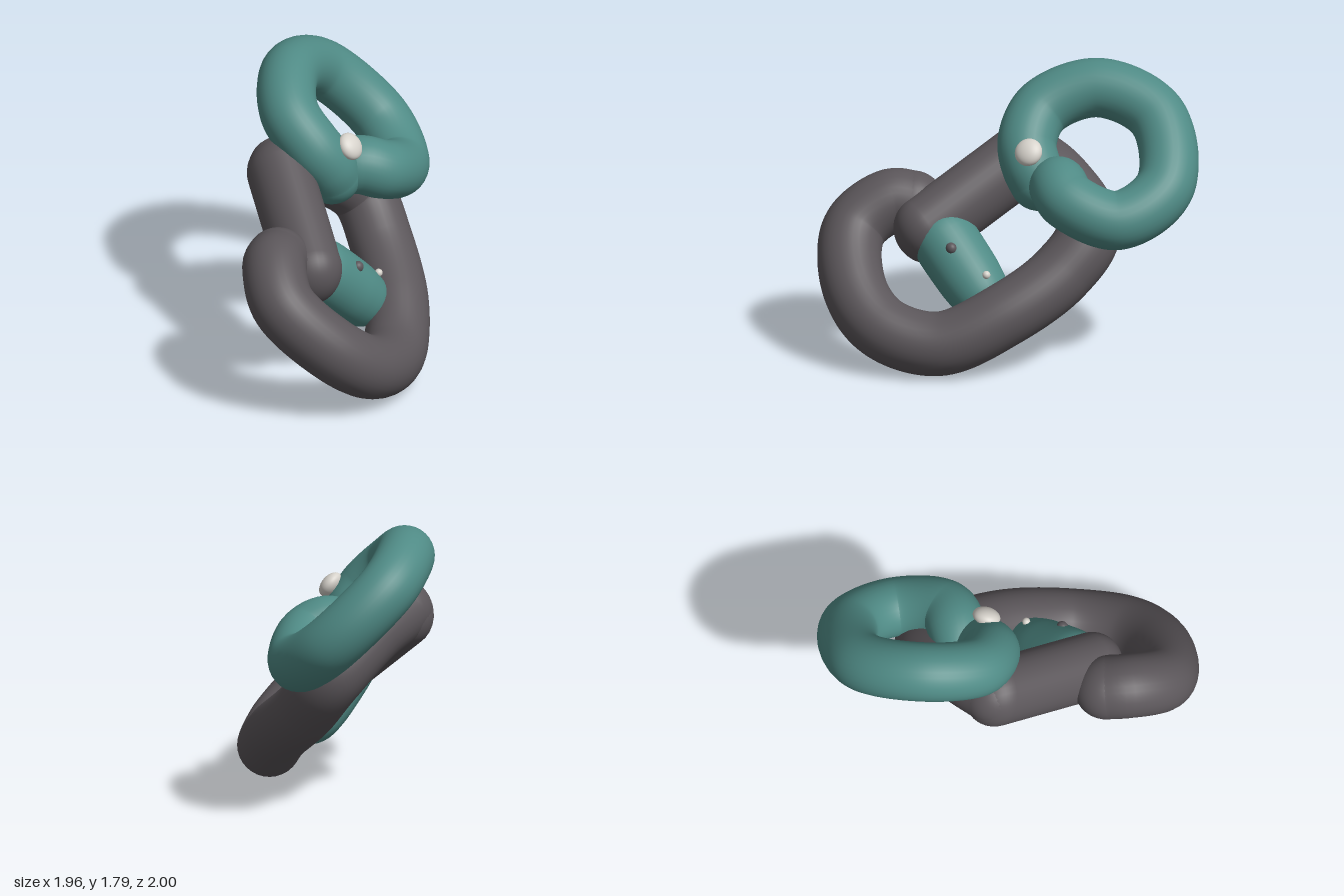
import * as THREE from 'three';

const teal = new THREE.MeshStandardMaterial({ color: 0x4f8a85 });
teal.name = 'teal';
const charcoal = new THREE.MeshStandardMaterial({ color: 0x5b565a });
charcoal.name = 'charcoal';
const ivory = new THREE.MeshStandardMaterial({ color: 0xd6d2cb });
ivory.name = 'ivory';

const v = (p) => new THREE.Vector3(...p);

// Thick round tube through the points, closed by a ball at each end;
// the last tenth narrows to endRadius
function roundTube(name, points, radius, endRadius, material) {
  const group = new THREE.Group();
  group.name = name;
  const segments = 160, sides = 32;
  const curve = new THREE.CatmullRomCurve3(points.map(v), false, 'centripetal');
  const geometry = new THREE.TubeGeometry(curve, segments, radius, sides);
  const position = geometry.attributes.position;
  const p = new THREE.Vector3();
  for (let i = 0; i <= segments; i++) {
    const t = i / segments;
    const centre = curve.getPointAt(t);
    const scale = THREE.MathUtils.lerp(1, endRadius / radius, THREE.MathUtils.smoothstep(t, 0.9, 1));
    for (let j = 0; j <= sides; j++) {
      const k = i * (sides + 1) + j;
      p.fromBufferAttribute(position, k).sub(centre).multiplyScalar(scale).add(centre);
      position.setXYZ(k, p.x, p.y, p.z);
    }
  }
  const tube = new THREE.Mesh(geometry, material);
  tube.name = name + 'Tube';
  group.add(tube);
  const ends = [['StartCap', points[0], radius], ['EndCap', points[points.length - 1], endRadius]];
  for (const [label, at, r] of ends) group.add(spot(name + label, at, [r, r, r], material));
  return group;
}

// Straight capsule with an oval section; wide gives the direction of the wider side
function ovalBar(name, start, end, wide, radii, material) {
  const a = v(start), b = v(end);
  const along = b.clone().sub(a);
  const length = along.length();
  along.normalize();
  const side = v(wide);
  side.addScaledVector(along, -side.dot(along)).normalize();
  const geometry = new THREE.CapsuleGeometry(0.2, length, 16, 32);
  geometry.scale(radii[0] / 0.2, 1, radii[1] / 0.2);
  const mesh = new THREE.Mesh(geometry, material);
  mesh.name = name;
  mesh.position.copy(a).add(b).multiplyScalar(0.5);
  mesh.quaternion.setFromRotationMatrix(
    new THREE.Matrix4().makeBasis(side, along, side.clone().cross(along)));
  return mesh;
}

// Ball stretched to the given radii
function spot(name, position, radii, material) {
  const mesh = new THREE.Mesh(new THREE.SphereGeometry(1, 32, 20), material);
  mesh.name = name;
  mesh.position.set(...position);
  mesh.scale.set(...radii);
  return mesh;
}

export function createModel() {
  const model = new THREE.Group();
  model.name = 'knottedTubes';

  // Dark coil: back corner, long run, wide front loop that ends on the bar
  model.add(roundTube('darkCoil', [
    [-0.34, 1.16, 0.15], [-0.34, 1.07, -0.12], [-0.28, 0.83, -0.44],
    [-0.06, 0.6, -0.42], [0.3, 0.37, -0.26], [0.6, 0.2, 0.0],
    [0.77, 0.27, 0.32], [0.74, 0.46, 0.59], [0.52, 0.74, 0.8],
    [0.3, 0.89, 0.7], [0.21, 0.88, 0.6],
  ], 0.2, 0.2, charcoal));
  model.add(ovalBar('darkBar', [-0.33, 1.15, 0.165], [0.285, 0.77, 0.41],
    [0.53, 0.85, 0], [0.225, 0.2], charcoal));

  // Teal ring: one end narrows and hooks under the other
  model.add(roundTube('tealRing', [
    [-0.17, 1.1, -0.12], [-0.155, 1.19, -0.07], [-0.2, 1.32, 0.01],
    [-0.38, 1.49, 0.045], [-0.65, 1.605, -0.17], [-0.795, 1.47, -0.53],
    [-0.57, 1.13, -0.815], [-0.25, 0.97, -0.72], [-0.09, 1.07, -0.45],
    [-0.14, 1.12, -0.32], [-0.26, 1.07, -0.2], [-0.37, 1.03, -0.12],
  ], 0.184, 0.1, teal));

  // Teal tip that pokes steeply down from the bar, turned from a rounded profile
  const profile = [
    [0.17, 0], [0.205, 0.1], [0.205, 0.35], [0.195, 0.48], [0.175, 0.58],
    [0.13, 0.66], [0.07, 0.7], [0, 0.71],
  ].map(([r, y]) => new THREE.Vector2(r, y));
  const smooth = new THREE.SplineCurve(profile).getPoints(32);
  smooth.forEach((p) => { p.x = Math.max(p.x, 0); });
  const tip = new THREE.Mesh(new THREE.LatheGeometry(smooth, 32), teal);
  tip.name = 'tealTip';
  tip.position.set(0.245, 0.8, 0.38);
  tip.quaternion.setFromUnitVectors(new THREE.Vector3(0, 1, 0),
    new THREE.Vector3(0, -0.67, -0.742).normalize());
  model.add(tip);

  // Pale flattened bead on the ring, small marks on the tip
  const bead = spot('ringBead', [-0.035, 1.335, -0.16], [0.055, 0.088, 0.088], ivory);
  bead.quaternion.setFromUnitVectors(new THREE.Vector3(1, 0, 0),
    new THREE.Vector3(0.75, 0.6, -0.28).normalize());
  model.add(bead);
  model.add(spot('paleMark', [0.3, 0.605, -0.12], [0.025, 0.025, 0.025], ivory));
  model.add(spot('darkMark', [0.38, 0.745, 0.105], [0.033, 0.036, 0.036], charcoal));
  return model;
}
